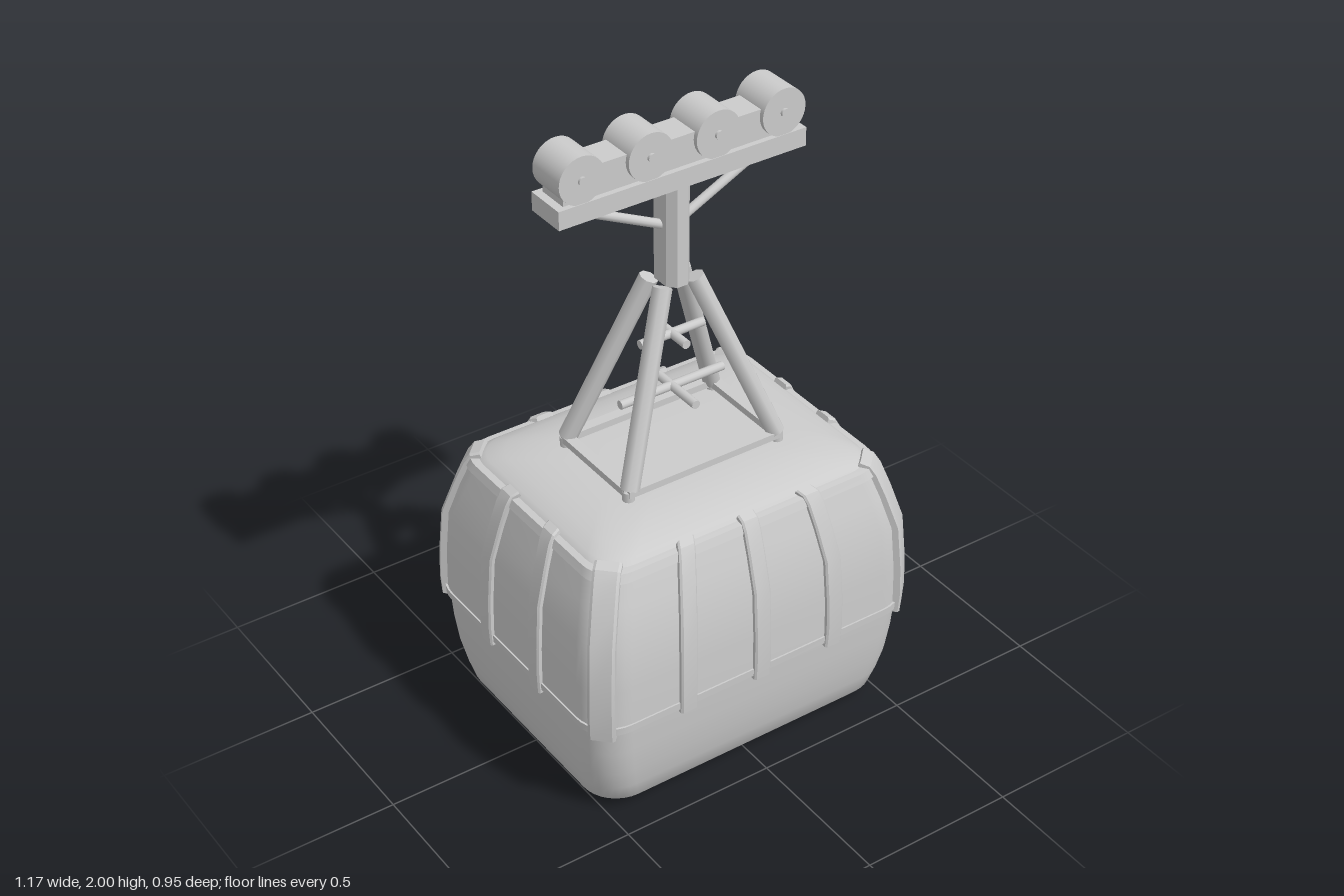
import * as THREE from 'three';
import { toCreasedNormals } from 'three/addons/utils/BufferGeometryUtils.js';

const mat = new THREE.MeshStandardMaterial({ color: 0xcccccc });
const V = (x, y, z) => new THREE.Vector3(x, y, z);
const DEPTH = 0.11; // the cabin is this much narrower (per side) in z than in x

function add(parent, name, geometry, x = 0, y = 0, z = 0) {
  const m = new THREE.Mesh(geometry, mat);
  m.name = name;
  m.position.set(x, y, z);
  parent.add(m);
  return m;
}

// Skin a stack of equal-length rings (counter-clockwise seen from above), capped at both ends
function skin(rings, crease) {
  const n = rings[0].length, pos = [], idx = [];
  rings.forEach(r => r.forEach(p => pos.push(p.x, p.y, p.z)));
  for (let i = 0; i < rings.length - 1; i++) {
    for (let j = 0; j < n; j++) {
      const a = i * n + j, b = i * n + (j + 1) % n;
      idx.push(a, b, b + n, a, b + n, a + n);
    }
  }
  const top = (rings.length - 1) * n;
  for (let j = 1; j < n - 1; j++) idx.push(0, j + 1, j, top, top + j, top + j + 1);
  const g = new THREE.BufferGeometry();
  g.setAttribute('position', new THREE.Float32BufferAttribute(pos, 3));
  g.setIndex(idx);
  return toCreasedNormals(g, crease);
}

// Rounded rectangle ring at height y
function ring(y, hx, r, seg = 8) {
  const hz = hx - DEPTH, pts = [];
  [[1, -1], [-1, -1], [-1, 1], [1, 1]].forEach(([sx, sz], q) => {
    for (let k = 0; k <= seg; k++) {
      const a = (q + k / seg) * Math.PI / 2;
      pts.push(V(sx * (hx - r) + r * Math.cos(a), y, sz * (hz - r) - r * Math.sin(a)));
    }
  });
  return pts;
}
const shell = (profile, crease = 0.6) => skin(profile.map(([y, hx, r]) => ring(y, hx, r)), crease);

// Straight round bar between two points
function bar(parent, name, a, b, r, sides = 12) {
  const d = b.clone().sub(a);
  const m = add(parent, name, new THREE.CylinderGeometry(r, r, d.length(), sides));
  m.position.copy(a).addScaledVector(d, 0.5);
  m.quaternion.setFromUnitVectors(V(0, 1, 0), d.normalize());
  return m;
}

// Flat strap that follows the cabin wall; anchor(hx) gives its place on the wall
const strapPath = [[0.337, 0.568], [0.4, 0.571], [0.5, 0.569], [0.65, 0.559], [0.76, 0.53], [0.835, 0.507], [0.86, 0.494], [0.868, 0.475]];
function strap(parent, name, out, width, anchor) {
  const up = V(0, 1, 0), side = up.clone().cross(out);
  const rings = strapPath.map(([y, hx], i) => {
    const p = strapPath[Math.max(i - 1, 0)], q = strapPath[Math.min(i + 1, strapPath.length - 1)];
    const normal = out.clone().multiplyScalar(q[0] - p[0]).addScaledVector(up, p[1] - q[1]).normalize();
    const c = anchor(hx).setY(y);
    const at = (s, o) => c.clone().addScaledVector(side, s * width / 2).addScaledVector(normal, o);
    return [at(-1, 0.008), at(-0.8, 0.013), at(0.8, 0.013), at(1, 0.008), at(1, -0.02), at(-1, -0.02)];
  });
  add(parent, name, skin(rings, 0.5));
}

export function createModel() {
  const model = new THREE.Group();
  model.name = 'cableCar';

  // Cabin shells
  const cabin = new THREE.Group();
  cabin.name = 'cabin';
  model.add(cabin);
  add(cabin, 'lowerBody', shell([
    [0, 0.44, 0.09], [0.003, 0.465, 0.1], [0.018, 0.5, 0.11], [0.04, 0.519, 0.115],
    [0.1, 0.535, 0.115], [0.17, 0.549, 0.115], [0.26, 0.559, 0.115], [0.36, 0.565, 0.115]]));
  add(cabin, 'beltRail', shell([[0.35, 0.56, 0.115], [0.35, 0.573, 0.115], [0.375, 0.574, 0.115], [0.375, 0.56, 0.115]]));
  add(cabin, 'windowBand', shell([
    [0.36, 0.569, 0.115], [0.5, 0.567, 0.115], [0.65, 0.557, 0.112],
    [0.76, 0.528, 0.108], [0.84, 0.503, 0.105]]));
  add(cabin, 'roofRail', shell([[0.832, 0.49, 0.1], [0.832, 0.511, 0.105], [0.858, 0.501, 0.105], [0.862, 0.475, 0.1]]));
  add(cabin, 'roof', shell([
    [0.84, 0.497, 0.1], [0.856, 0.488, 0.1], [0.872, 0.465, 0.1], [0.888, 0.425, 0.1],
    [0.9, 0.38, 0.1], [0.908, 0.33, 0.1], [0.912, 0.27, 0.1], [0.912, 0.2, 0.08]]));

  // Window straps, leaning in towards the roof, and corner posts
  const lean = hx => (hx - DEPTH) / 0.46;
  for (const s of [-1, 1]) {
    for (const x of [-0.262, 0, 0.262]) {
      strap(cabin, 'endStrap', V(0, 0, s), 0.057, hx => V(x * lean(hx), 0, s * (hx - DEPTH)));
    }
    for (const z of [-0.133, 0.133]) {
      strap(cabin, 'sideStrap', V(s, 0, 0), 0.057, hx => V(s * hx, 0, z * lean(hx)));
    }
    for (const t of [-1, 1]) {
      const inset = 0.11 * (1 - Math.SQRT1_2);
      strap(cabin, 'cornerPost', V(s, 0, t).normalize(), 0.08,
        hx => V(s * (hx - inset), 0, t * (hx - DEPTH - inset)));
    }
  }

  // Hanger: base frame, four legs and crossed rungs
  const hanger = new THREE.Group();
  hanger.name = 'hanger';
  model.add(hanger);
  for (const s of [-1, 1]) {
    add(hanger, 'baseFrameLong', new THREE.BoxGeometry(0.54, 0.022, 0.034), 0, 0.936, s * 0.166);
    add(hanger, 'baseFrameShort', new THREE.BoxGeometry(0.034, 0.022, 0.33), s * 0.262, 0.936, 0);
    for (const t of [-1, 1]) {
      bar(hanger, 'leg', V(s * 0.257, 0.94, t * 0.162), V(s * 0.055, 1.48, t * 0.034), 0.029, 8);
      bar(hanger, 'foot', V(s * 0.262, 0.9, t * 0.163), V(s * 0.262, 0.94, t * 0.163), 0.019);
    }
  }
  for (const [y, x, z] of [[1.11, 0.18, 0.123], [1.29, 0.11, 0.075]]) {
    bar(hanger, 'longRung', V(-x, y, 0), V(x, y, 0), 0.014);
    bar(hanger, 'crossRung', V(0, y, -z), V(0, y, z), 0.014);
  }

  // Post with chamfered corners
  const outline = [[0.04, 0.03], [0.04, -0.03], [0.018, -0.055], [-0.018, -0.055],
    [-0.04, -0.03], [-0.04, 0.03], [-0.018, 0.055], [0.018, 0.055]];
  add(hanger, 'post', skin([1.475, 1.81].map(y => outline.map(([x, z]) => V(x, y, z))), 0.4));

  // Carriage: beam, braces, wheel housing and wheels
  const carriage = new THREE.Group();
  carriage.name = 'carriage';
  model.add(carriage);
  add(carriage, 'beam', new THREE.BoxGeometry(0.82, 0.058, 0.134), 0, 1.828, 0);
  add(carriage, 'wheelHousing', new THREE.BoxGeometry(0.77, 0.1, 0.1), 0, 1.9, 0);
  for (const s of [-1, 1]) bar(carriage, 'brace', V(s * 0.32, 1.8, 0), V(s * 0.02, 1.655, 0), 0.014);
  for (const x of [-0.333, -0.111, 0.111, 0.333]) {
    bar(carriage, 'wheel', V(x, 1.927, -0.065), V(x, 1.927, 0.065), 0.073, 32);
    bar(carriage, 'axle', V(x, 1.927, -0.073), V(x, 1.927, 0.073), 0.013);
  }
  return model;
}
